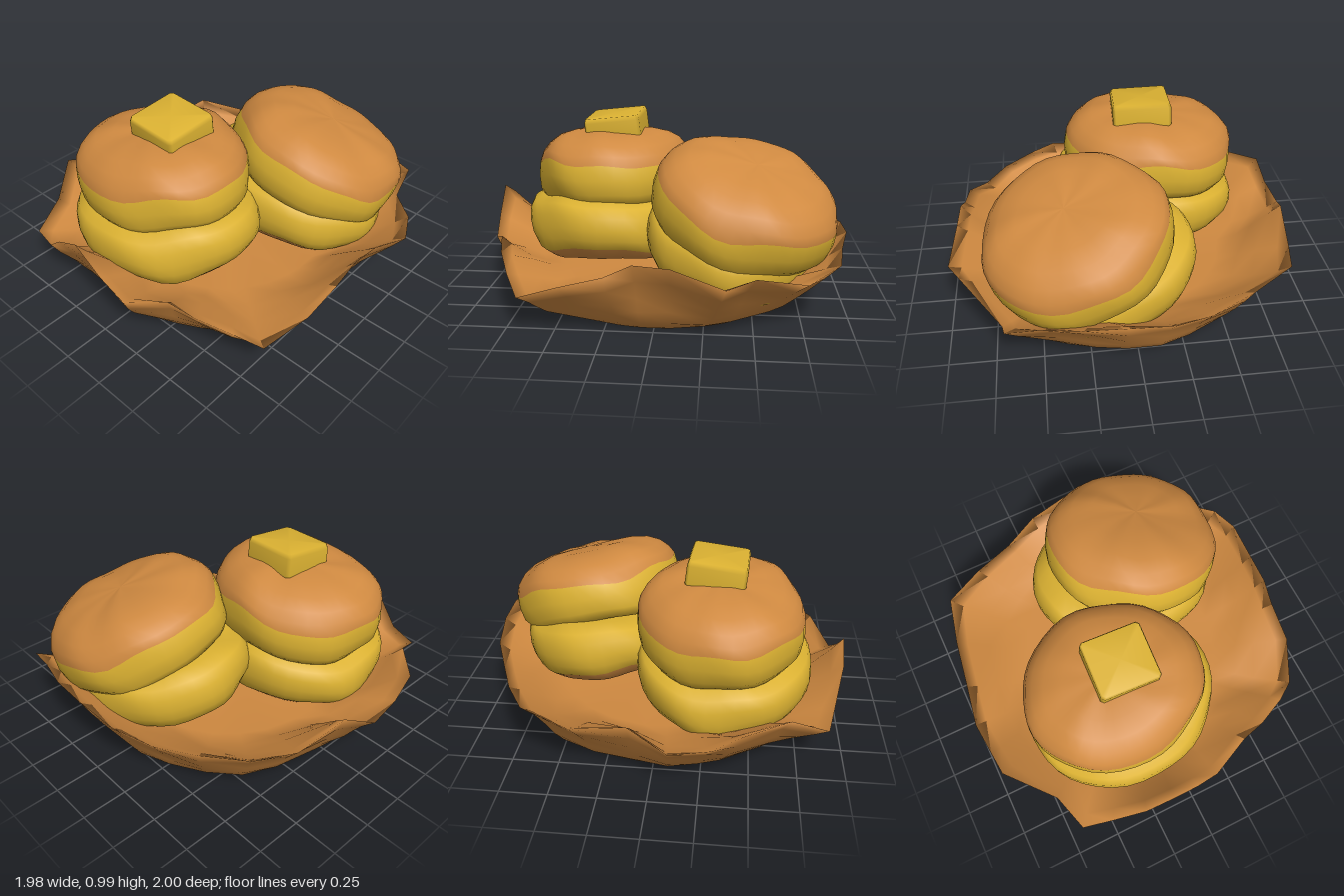
import * as THREE from 'three';

const crust = new THREE.MeshStandardMaterial({ color: 0xd08a41 });
crust.name = 'toasted brown';
const crumb = new THREE.MeshStandardMaterial({ color: 0xdcb232 });
crumb.name = 'butter yellow';

// Skins closed rings from bottom to top; slots gives the material of each band.
function loft(rows, cols, point, slots) {
  const pos = [], index = [], geo = new THREE.BufferGeometry();
  for (let i = 0; i < rows; i++)
    for (let j = 0; j < cols; j++) pos.push(...point(i, j));
  for (let i = 0; i < rows - 1; i++) {
    for (let j = 0; j < cols; j++) {
      const k = (j + 1) % cols;
      const a = i * cols + j, b = i * cols + k, c = a + cols, d = b + cols;
      index.push(a, b, c, b, d, c);
    }
    if (slots) geo.addGroup(i * cols * 6, cols * 6, slots(i));
  }
  geo.setAttribute('position', new THREE.Float32BufferAttribute(pos, 3));
  geo.setIndex(index);
  geo.computeVertexNormals();
  return geo;
}

// Lumpy offset around a ring.
const lump = (a, s) => 0.5 * Math.sin(3 * a + s) + 0.3 * Math.sin(5 * a + 2.3 * s) + 0.25 * Math.sin(8 * a + 1.7 * s);

// Radius (of 1) and height, bottom to top, for the two halves of a biscuit.
const TOP = [[0, 0], [0.65, 0], [0.9, 0.02], [0.98, 0.08], [1, 0.16], [0.985, 0.24],
  [0.94, 0.29], [0.85, 0.34], [0.71, 0.38], [0.5, 0.405], [0.25, 0.41], [0, 0.41]];
const BOTTOM = [[0, 0], [0.55, 0], [0.8, 0.03], [0.93, 0.09], [0.98, 0.15], [1, 0.21],
  [0.99, 0.28], [0.94, 0.335], [0.8, 0.37], [0.5, 0.38], [0, 0.38]];

function biscuitHalf(name, profile, seam, crustOnTop, rx, rz, position, axis, seed) {
  const cols = 40;
  const geo = loft(profile.length, cols, (i, j) => {
    const a = (j / cols) * Math.PI * 2, [r, y] = profile[i];
    const s = seed + i * 0.22;
    const k = r * (1 + 0.025 * lump(a, s));
    const wave = (i === seam ? 0.035 : 0.02) * lump(a, s + 1) * r;
    return [Math.sin(a) * k * rx, y + wave, Math.cos(a) * k * rz];
  }, i => ((i >= seam) === crustOnTop ? 0 : 1));
  const mesh = new THREE.Mesh(geo, [crust, crumb]);
  mesh.name = name;
  mesh.position.set(...position);
  mesh.quaternion.setFromUnitVectors(new THREE.Vector3(0, 1, 0), new THREE.Vector3(...axis).normalize());
  return mesh;
}

// Rim of the crumpled wrapper, from the front round by the left side.
const RIM = [
  [-0.16, 0.51, 1.0], [0, 0.38, 0.99], [0.15, 0.28, 0.97], [0.37, 0.36, 0.87], [0.52, 0.32, 0.83],
  [0.7, 0.27, 0.75], [0.83, 0.2, 0.67], [0.92, 0.3, 0.44], [0.93, 0.36, 0.22], [0.94, 0.43, 0.08],
  [0.95, 0.42, -0.1], [0.99, 0.34, -0.36], [0.92, 0.37, -0.5], [0.7, 0.26, -0.77], [0.68, 0.36, -0.92],
  [0.5, 0.39, -0.95], [0.3, 0.41, -1.0], [0.08, 0.4, -1.0], [-0.15, 0.36, -0.97], [-0.36, 0.32, -0.88],
  [-0.6, 0.36, -0.78], [-0.83, 0.4, -0.65], [-0.9, 0.34, -0.4], [-0.94, 0.4, -0.1], [-0.99, 0.29, 0.1],
  [-0.97, 0.31, 0.3], [-0.95, 0.39, 0.45], [-0.73, 0.34, 0.7], [-0.67, 0.25, 0.9], [-0.5, 0.27, 0.94],
  [-0.32, 0.43, 0.99],
];

// Wrapper rows: base disc, bulging outer wall up to the rim, then a gentler inner slope to the floor.
function wrapper() {
  const base = [0, 0.6, 1], wall = [0.12, 0.3, 0.5, 0.75, 1], inside = [0.15, 0.45, 0.7, 1];
  const floor = 0.15, rows = base.length + wall.length + inside.length + 1;
  const geo = loft(rows, RIM.length, (i, j) => {
    const [x, y, z] = RIM[j], a = Math.atan2(x, z);
    const dx = Math.sin(a), dz = Math.cos(a), crease = Math.sin(j * 2.1 + i * 0.6);
    if (i < base.length) return [dx * 0.7 * base[i], 0, dz * 0.74 * base[i]];
    const w = i - base.length;
    if (w < wall.length) {
      // the lip flares out everywhere but at the front
      const t = wall[w], mid = Math.sin(Math.PI * t);
      const out = t ** 0.65 - 0.1 * mid * (1 - Math.max(0, dz));
      const fold = 1 + 0.02 * mid * crease;
      const bx = dx * 0.7, bz = dz * 0.74;
      return [(bx + (x - bx) * out) * fold, y * t, (bz + (z - bz) * out) * fold];
    }
    const n = w - wall.length;
    if (n === inside.length) return [0, floor, 0];
    const u = inside[n], slope = (1 - u) ** 1.3;
    return [
      x + (dx * 0.58 - x) * u,
      floor + (y - floor) * slope + 0.025 * Math.sin(Math.PI * u) * crease,
      z + (dz * 0.6 - z) * u,
    ];
  });
  const mesh = new THREE.Mesh(geo, crust);
  mesh.name = 'paperWrapper';
  return mesh;
}

// Soft-edged square pat, slightly narrower at the bottom and top faces.
function butterPat() {
  const size = [[0, -0.075], [0.97, -0.075], [1, -0.05], [1, 0.05], [0.95, 0.075], [0, 0.075]];
  const corners = [[-0.9, 1], [0.9, 1], [1, 0.9], [1, -0.9], [0.9, -1], [-0.9, -1], [-1, -0.9], [-1, 0.9]];
  const geo = loft(size.length, corners.length, (i, j) => {
    const [k, y] = size[i], [x, z] = corners[j];
    return [x * k * 0.168, y, z * k * 0.16];
  });
  const mesh = new THREE.Mesh(geo, crumb);
  mesh.name = 'butterPat';
  mesh.position.set(-0.145, 0.895, 0.295);
  mesh.rotation.set(0.11, -0.05, -0.03);
  return mesh;
}

export function createModel() {
  const model = new THREE.Group();
  model.name = 'biscuitsInWrapper';

  // front biscuit, split across the middle
  const front = new THREE.Group();
  front.name = 'frontBiscuit';
  front.add(
    biscuitHalf('frontBiscuitBottom', BOTTOM, 3, false, 0.56, 0.49, [-0.15, 0.13, 0.34], [-0.1, 1, 0], 1.2),
    biscuitHalf('frontBiscuitTop', TOP, 5, true, 0.51, 0.455, [-0.19, 0.46, 0.32], [-0.08, 1, 0.02], 2.6),
  );

  // back biscuit, its top half sliding off
  const back = new THREE.Group();
  back.name = 'backBiscuit';
  back.add(
    biscuitHalf('backBiscuitBottom', BOTTOM, 3, false, 0.56, 0.48, [0.17, 0.13, -0.36], [0.13, 1, -0.13], 4.1),
    biscuitHalf('backBiscuitTop', TOP, 5, true, 0.515, 0.505, [0.25, 0.4, -0.41], [0.27, 1, -0.27], 5.3),
  );

  model.add(wrapper(), front, back, butterPat());
  return model;
}
